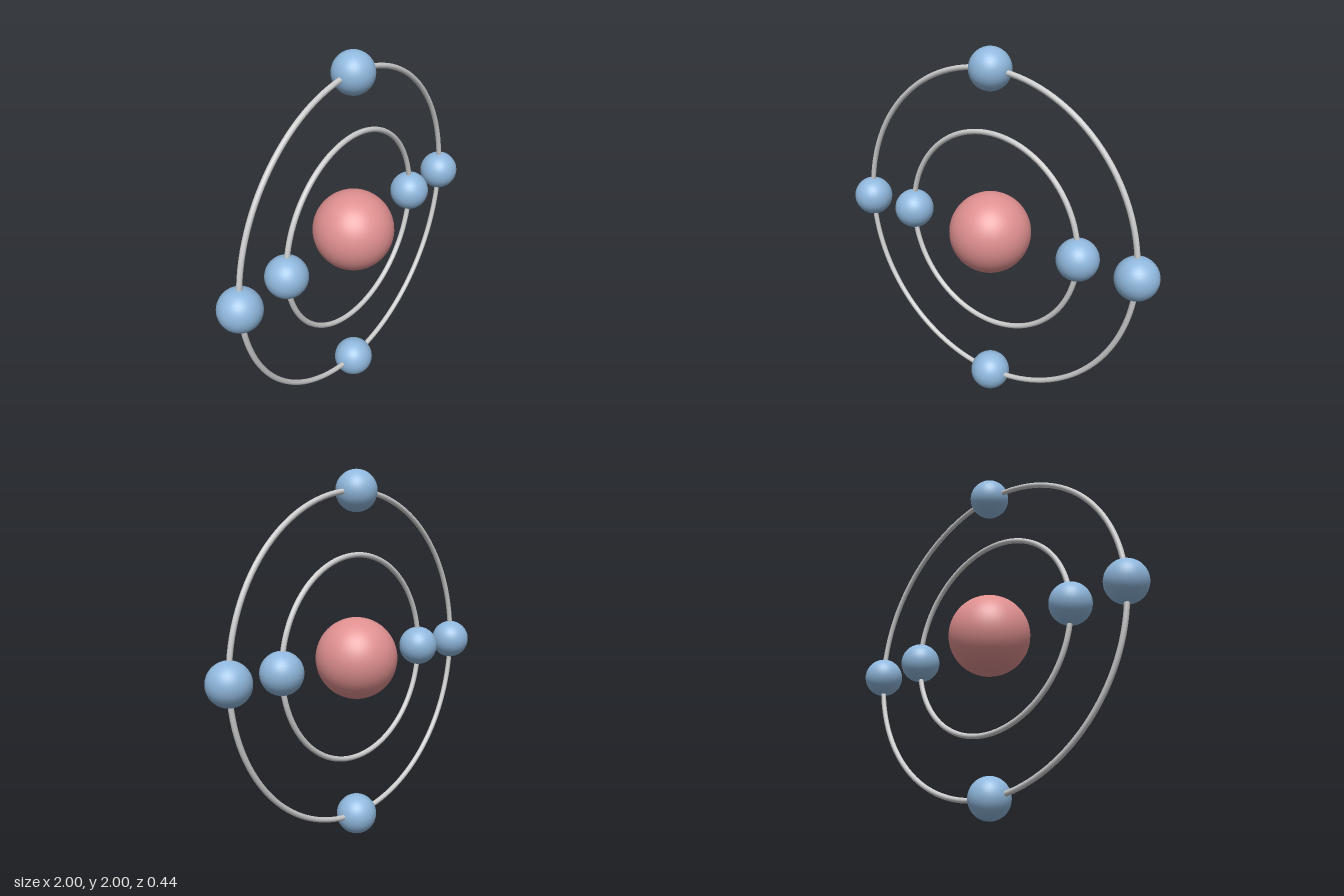
import * as THREE from 'three';

const UNIT = 1 / 9; // electron radius; every other size is a multiple of it

export function createModel() {
  const model = new THREE.Group();
  model.name = 'atom';

  const red = new THREE.MeshStandardMaterial({ color: 0xe09090 });
  const blue = new THREE.MeshStandardMaterial({ color: 0x90b8dd });
  const grey = new THREE.MeshStandardMaterial({ color: 0xcccccc });

  const add = (name, geometry, material, x = 0, y = 0) => {
    const mesh = new THREE.Mesh(geometry, material);
    mesh.name = name;
    mesh.position.set(x, 1 + y, 0);
    model.add(mesh);
  };

  // Central nucleus
  add('nucleus', new THREE.SphereGeometry(2 * UNIT, 48, 32), red);

  // Upright orbit rings, each with evenly spaced electrons
  const electron = new THREE.SphereGeometry(UNIT, 40, 24);
  const shells = [
    { name: 'inner', radius: 5 * UNIT, electrons: 2 },
    { name: 'outer', radius: 8 * UNIT, electrons: 4 },
  ];
  for (const { name, radius, electrons } of shells) {
    add(`${name}Orbit`, new THREE.TorusGeometry(radius, 0.0145, 12, 128), grey);
    for (let i = 0; i < electrons; i++) {
      const a = (i / electrons) * Math.PI * 2;
      add(`${name}Electron${i + 1}`, electron, blue, radius * Math.cos(a), radius * Math.sin(a));
    }
  }
  return model;
}
